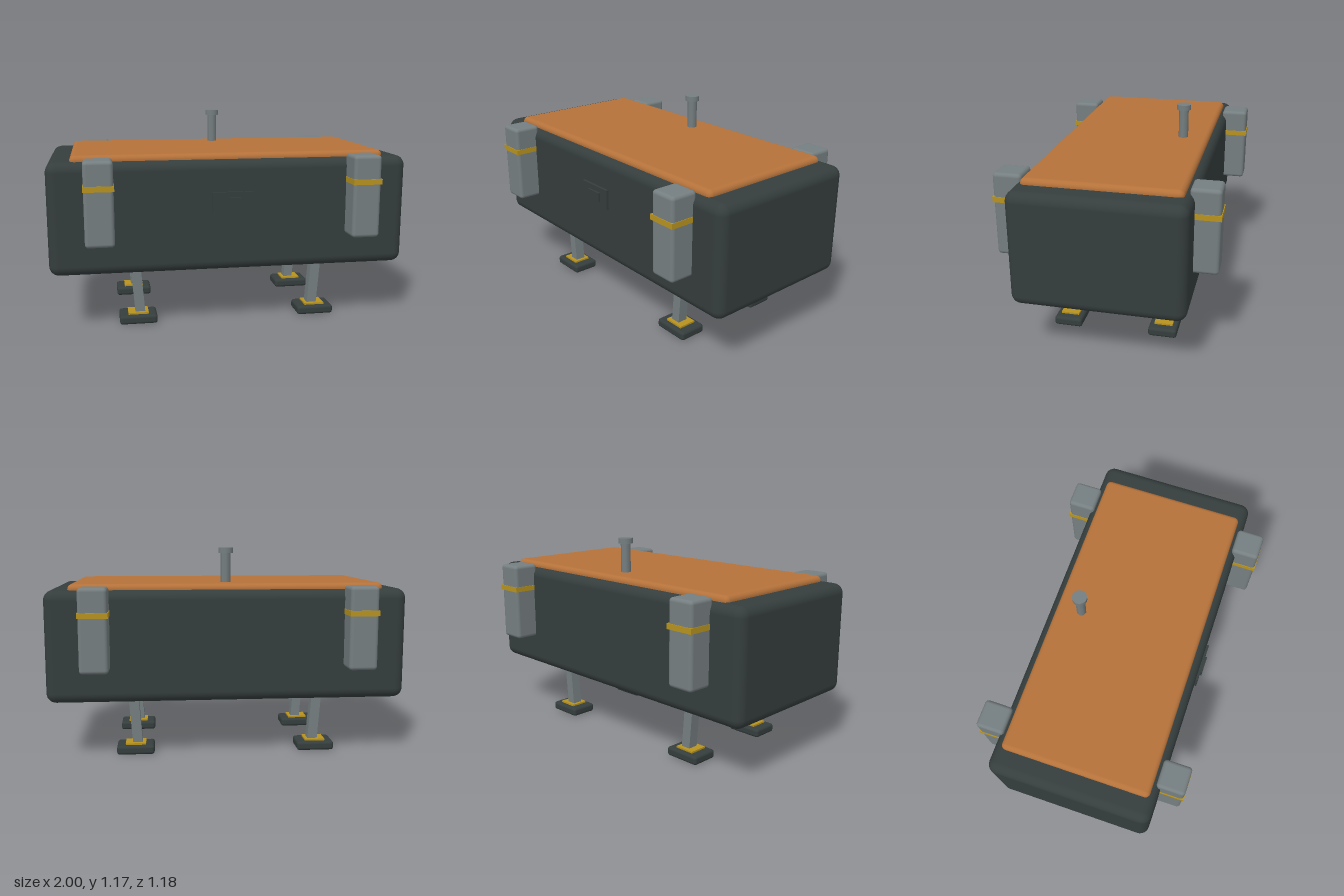
import * as THREE from 'three';
import { RoundedBoxGeometry } from 'three/addons/geometries/RoundedBoxGeometry.js';

const material = (name, color) => {
  const m = new THREE.MeshStandardMaterial({ color });
  m.name = name;
  return m;
};

export function createModel() {
  const dark = material('charcoal', 0x353d3d);
  const grey = material('steel grey', 0x757e80);
  const gold = material('gold', 0xb8931f);
  const orange = material('copper orange', 0xb5723a);
  const model = new THREE.Group();
  model.name = 'supplyCrate';

  const add = (name, geometry, mat, x, y, z) => {
    const mesh = new THREE.Mesh(geometry, mat);
    mesh.name = name;
    mesh.position.set(x, y, z);
    model.add(mesh);
    return mesh;
  };
  const rounded = (w, h, d, r) => new RoundedBoxGeometry(w, h, d, 4, r);
  const box = (w, h, d) => new THREE.BoxGeometry(w, h, d);

  // Hull and top deck
  add('hull', rounded(2, 0.62, 0.914, 0.055), dark, 0, 0.637, 0);
  add('deck', rounded(1.744, 0.06, 0.83, 0.028), orange, 0, 0.948, 0);

  // Front hatch panel with a raised handle plate
  add('hatchPanel', box(0.226, 0.116, 0.03), dark, 0, 0.713, 0.456);
  add('hatchHandle', box(0.1, 0.054, 0.03), dark, 0, 0.713, 0.466);

  // Mast with a cap
  add('mast', new THREE.CylinderGeometry(0.028, 0.028, 0.22, 8), grey, 0, 1.04, -0.27);
  add('mastCap', new THREE.CylinderGeometry(0.041, 0.041, 0.03, 20), grey, 0, 1.157, -0.27);

  for (const sx of [-1, 1]) {
    for (const sz of [-1, 1]) {
      // Corner canister with strap
      add('canister', rounded(0.156, 0.456, 0.157, 0.02), grey, sx * 0.724, 0.741, sz * 0.509);
      add('strap', box(0.162, 0.03, 0.165), gold, sx * 0.724, 0.825, sz * 0.509);

      // Slightly splayed leg, ankle plate and foot
      const leg = add('leg', box(0.056, 0.34, 0.06), grey, sx * 0.52, 0.2, sz * 0.272);
      leg.rotation.z = -sx * 0.08;
      add('anklePlate', box(0.116, 0.01, 0.104), gold, sx * 0.52, 0.056, sz * 0.272);
      add('foot', rounded(0.214, 0.051, 0.16, 0.016), dark, sx * 0.52, 0.0255, sz * 0.272);
    }
  }
  return model;
}
